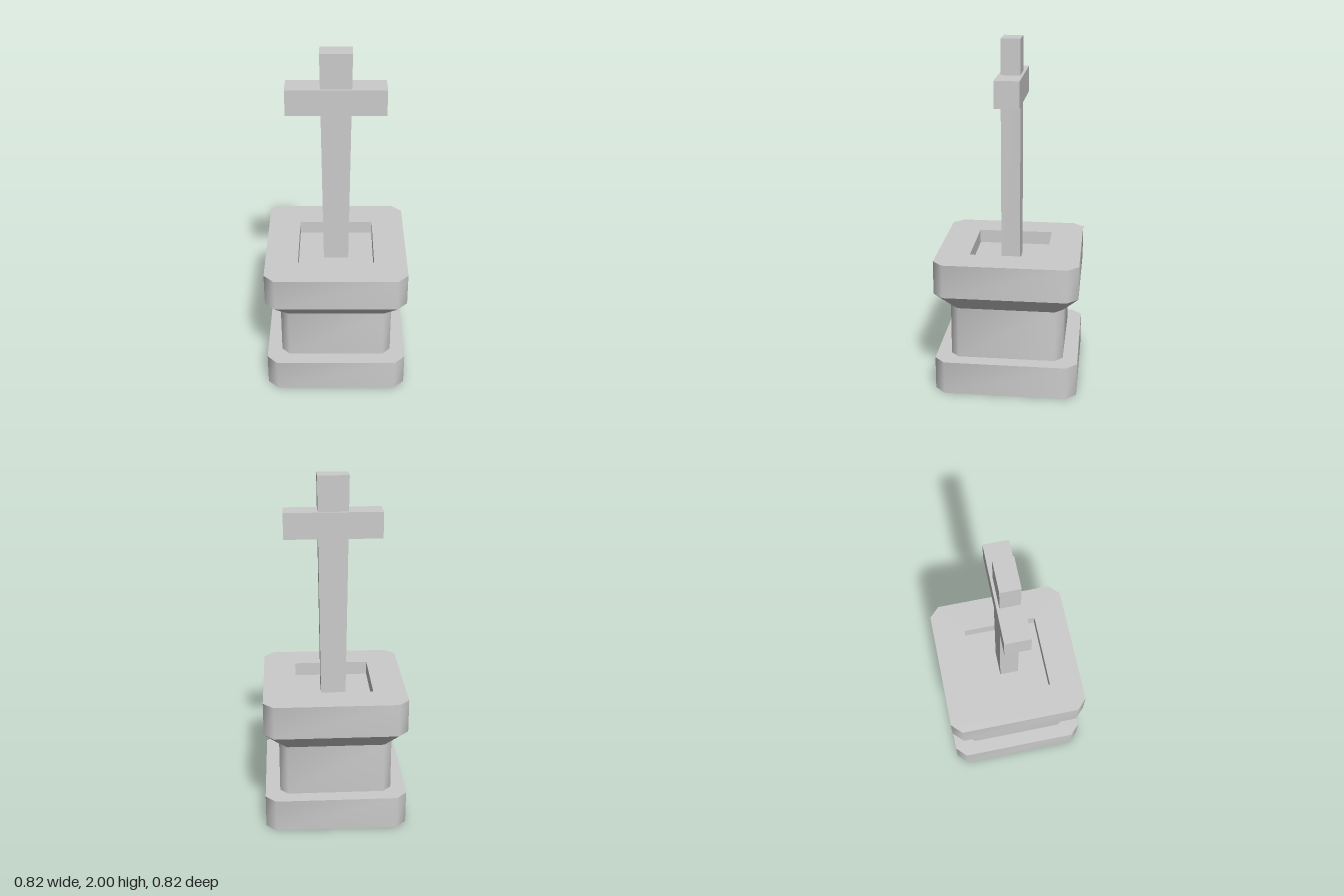
import * as THREE from 'three';
import { toCreasedNormals } from 'three/addons/utils/BufferGeometryUtils.js';

const material = new THREE.MeshStandardMaterial({ color: 0xcccccc });

// Square outline with half width h and corners cut by c, as [x, z] pairs
function outline(h, c) {
  const quarter = c > 0 ? [[-h + c, h], [h - c, h]] : [[h, h]];
  const points = [];
  for (let i = 0; i < 4; i++) {
    for (let [x, z] of quarter) {
      for (let k = 0; k < i; k++) [x, z] = [z, -x];
      points.push([x, z]);
    }
  }
  return points;
}

// Open wall joining one outline to another; the corner cuts are shaded softly
function wall(from, to, y0, y1) {
  const n = from.length;
  const positions = [];
  for (let i = 0; i < n; i++) {
    const j = (i + 1) % n;
    const a = [from[i][0], y0, from[i][1]];
    const b = [from[j][0], y0, from[j][1]];
    const c = [to[j][0], y1, to[j][1]];
    const d = [to[i][0], y1, to[i][1]];
    positions.push(...a, ...b, ...c, ...a, ...c, ...d);
  }
  const geometry = new THREE.BufferGeometry();
  geometry.setAttribute('position', new THREE.Float32BufferAttribute(positions, 3));
  return toCreasedNormals(geometry, THREE.MathUtils.degToRad(50));
}

// Flat horizontal face, optionally with a hole
function cap(points, y, { hole = null, down = false } = {}) {
  const toVectors = (list) => list.map(([x, z]) => new THREE.Vector2(x, -z));
  const shape = new THREE.Shape(toVectors(points));
  if (hole) shape.holes.push(new THREE.Path(toVectors(hole)));
  return new THREE.ShapeGeometry(shape)
    .rotateX(down ? Math.PI / 2 : -Math.PI / 2)
    .translate(0, y, 0);
}

export function createModel() {
  const group = new THREE.Group();
  const add = (name, geometry) => {
    const mesh = new THREE.Mesh(geometry, material);
    mesh.name = name;
    group.add(mesh);
  };

  const wide = outline(0.41, 0.06);
  const narrow = outline(0.325, 0.047);
  const socket = outline(0.22, 0);
  const floorY = 0.71;
  const topY = 0.79;

  // Plinth
  add('plinthUnderside', cap(wide, 0, { down: true }));
  add('plinthSides', wall(wide, wide, 0, 0.195));
  add('plinthTop', cap(wide, 0.195, { hole: narrow }));

  // Waist, flare and head of the pedestal
  add('waist', wall(narrow, narrow, 0.195, 0.5));
  add('flare', wall(narrow, wide, 0.5, 0.595));
  add('headSides', wall(wide, wide, 0.595, topY));
  add('headTop', cap(wide, topY, { hole: socket }));

  // Square recess in the head, walls facing inward
  add('recessWalls', wall(socket, socket, topY, floorY));
  add('recessFloor', cap(socket, floorY));

  // Shaft, widening slightly in x towards the top
  const height = 2 - floorY;
  const shaft = new THREE.BoxGeometry(1, height, 0.11).translate(0, floorY + height / 2, 0);
  const position = shaft.attributes.position;
  for (let i = 0; i < position.count; i++) {
    const width = position.getY(i) > 1 ? 0.178 : 0.145;
    position.setX(i, position.getX(i) * width);
  }
  add('shaft', toCreasedNormals(shaft, 0.5));

  // Crossbar
  add('crossbar', new THREE.BoxGeometry(0.556, 0.15, 0.14).translate(0, 1.725, 0));

  return group;
}
